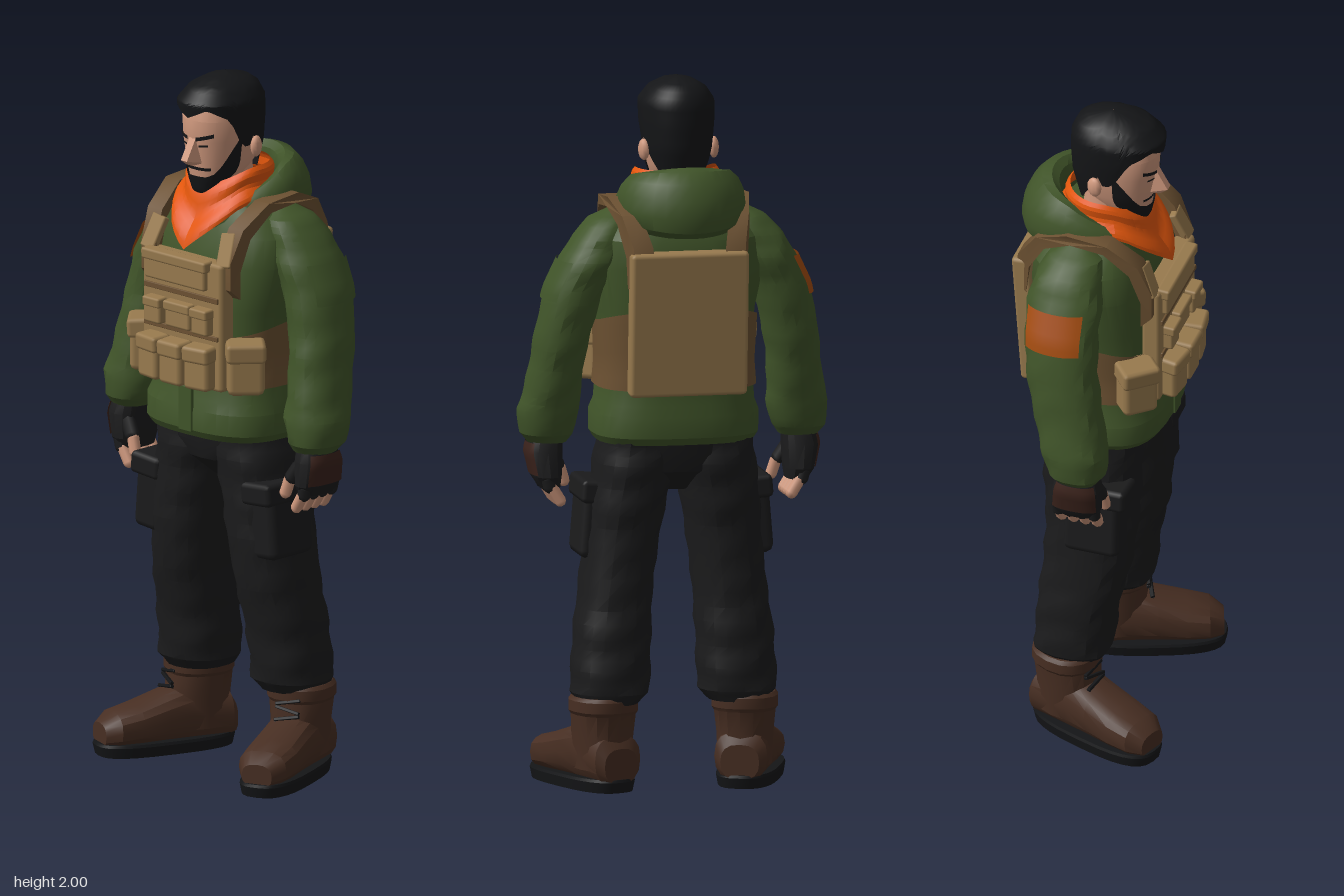
import * as THREE from 'three';
import { toCreasedNormals } from 'three/addons/utils/BufferGeometryUtils.js';
import { RoundedBoxGeometry } from 'three/addons/geometries/RoundedBoxGeometry.js';
import { ConvexGeometry } from 'three/addons/geometries/ConvexGeometry.js';

const PI = Math.PI;

function material(name, color, open) {
  const m = new THREE.MeshStandardMaterial({ color, side: open ? THREE.DoubleSide : THREE.FrontSide });
  m.name = name;
  return m;
}

// Interpolates rows sorted by their first column
function lookup(rows, x) {
  let i = 0;
  while (i < rows.length - 2 && x > rows[i + 1][0]) i++;
  const t = THREE.MathUtils.clamp((x - rows[i][0]) / (rows[i + 1][0] - rows[i][0]), 0, 1);
  return rows[i].map((v, k) => v + (rows[i + 1][k] - v) * t);
}

// Point on a rounded cross-section [y, rx, rz, cx, cz]; angle 0 faces the front
function onRing([y, rx, rz, cx = 0, cz = 0], a, p = 2, grow = 1) {
  const s = Math.sin(a), c = Math.cos(a);
  return [cx + rx * grow * Math.sign(s) * Math.abs(s) ** (2 / p), y,
    cz + rz * grow * Math.sign(c) * Math.abs(c) ** (2 / p)];
}

// Surface from a rule f(u, v), optionally with end caps
function sheet(f, nu, nv, caps = false, crease = 0.6) {
  const pos = [], idx = [], w = nu + 1;
  for (let j = 0; j <= nv; j++) for (let i = 0; i <= nu; i++) pos.push(...f(i / nu, j / nv));
  for (let j = 0; j < nv; j++) for (let i = 0; i < nu; i++) {
    const a = j * w + i, b = a + w;
    idx.push(a, a + 1, b + 1, a, b + 1, b);
  }
  if (caps) for (let i = 1; i < nu - 1; i++) {
    const t = nv * w;
    idx.push(0, i + 1, i, t, t + i, t + i + 1);
  }
  const g = new THREE.BufferGeometry();
  g.setAttribute('position', new THREE.Float32BufferAttribute(pos, 3));
  g.setIndex(idx);
  return toCreasedNormals(g, crease);
}

// Closed body through cross-sections, with optional cloth folds
function loft(rows, { n = 20, p = 2, sub = 1, fold = 0 } = {}) {
  const k = rows.length - 1;
  return sheet((u, v) => {
    const i = Math.min(k - 1, Math.floor(v * k + 1e-6)), t = v * k - i;
    const row = rows[i].map((q, c) => q + (rows[i + 1][c] - q) * t);
    const a = u * 2 * PI;
    return onRing(row, a, p, 1 + fold * Math.sin(row[0] * 55 + 2.4 * Math.sin(a) + 1.7 * Math.cos(2 * a)));
  }, n, k * sub, true, 0.45);
}

// Thin panel lying on a lofted body; lift raises its far end
const panel = (rows, a0, a1, y0, y1, grow, p = 2, n = 10, lift = 0) =>
  sheet((u, v) => onRing(lookup(rows, y0 + (y1 - y0) * v + lift * u), a0 + (a1 - a0) * u, p, grow), n, 6);

const shift = (rows, s, drift = 0) =>
  rows.map(([y, rx, rz, cx, cz]) => [y, rx, rz, cx * s + drift * (1 - y), cz]);

export function createModel() {
  const M = {
    jacket: material('jacket green', 0x405429, true), tan: material('vest tan', 0x987a4e),
    strap: material('strap brown', 0x6c5132, true), cloth: material('trouser black', 0x1b1b1c),
    hair: material('hair black', 0x141517, true), boot: material('boot brown', 0x472e22),
    orange: material('scarf orange', 0xe2560c, true), patch: material('patch orange', 0xa34c10, true),
    skin: material('skin', 0xcf987d), leather: material('glove leather', 0x3a221b, true),
  };
  const model = new THREE.Group();
  model.name = 'figure';
  const add = (name, geo, mat, pos = [0, 0, 0], rot = [0, 0, 0], parent = model) => {
    const m = new THREE.Mesh(geo, mat);
    m.name = name;
    m.position.set(...pos);
    m.rotation.set(...rot);
    parent.add(m);
    return m;
  };
  const box = (name, mat, [w, h, d], pos, rot, parent) =>
    add(name, new RoundedBoxGeometry(w, h, d, 1, Math.min(w, h, d) * 0.22), mat, pos, rot, parent);

  // Jacket body
  const torso = [[0.98, 0.222, 0.172, 0, 0.005], [1.0, 0.234, 0.184, 0, 0.005], [1.06, 0.234, 0.185, 0, 0.003],
    [1.09, 0.222, 0.174, 0, 0], [1.2, 0.213, 0.172, 0, -0.005], [1.35, 0.22, 0.174, 0, -0.013],
    [1.48, 0.248, 0.176, 0, -0.025], [1.56, 0.235, 0.162, 0, -0.032], [1.62, 0.185, 0.135, 0, -0.03],
    [1.67, 0.115, 0.105, 0, -0.02]];
  add('jacket', loft(torso, { n: 32, p: 2.8 }), M.jacket);
  box('jacketFlap', M.jacket, [0.05, 0.13, 0.012], [0.01, 1.06, 0.188]);

  // Hood resting behind the neck, sloping down and out from its inner rim
  add('hood', sheet((u, v) => {
    const a = u * 2 * PI, b = v * 2 * PI, t = (1 - Math.cos(a)) / 2;
    const r = Math.cos(b) * (0.03 + 0.028 * t * t), h = Math.sin(b) * (0.048 + 0.04 * t) - r * 0.7 * t;
    return [-0.006 + Math.sin(a) * (0.146 + r), 1.59 + 0.078 * Math.min(1, t * 1.6) + h,
      -0.045 + Math.cos(a) * (0.15 + r)];
  }, 32, 12), M.jacket);

  // Neck scarf with a pointed front
  add('scarf', sheet((u, v) => {
    const a = (u * 2 - 1) * PI, c = Math.cos(a), f = Math.max(0, 1 - Math.abs(a) / 1.15);
    const puff = 0.006 * Math.sin(v * 3 * PI);
    const front = 0.183 - 0.085 * v, back = 0.155 - 0.042 * v;
    return [-0.006 + Math.sin(a) * (0.14 - 0.026 * v + puff),
      (1.645 - 0.13 * f) * (1 - v) + (1.745 - 0.05 * Math.max(0, c) ** 2) * v, c * ((c > 0 ? front : back) + puff)];
  }, 36, 9, false, 0.35), M.orange);

  // Head
  const head = new THREE.Group();
  head.name = 'head';
  head.position.x = -0.013;
  model.add(head);
  const skull = [[1.65, 0.015, 0.02, 0, 0.078], [1.665, 0.042, 0.05, 0, 0.066], [1.7, 0.062, 0.078, 0, 0.044],
    [1.75, 0.08, 0.102, 0, 0.027], [1.82, 0.088, 0.115, 0, 0.025], [1.88, 0.09, 0.117, 0, 0.027],
    [1.95, 0.07, 0.1, 0, 0.022]];
  add('face', loft(skull, { n: 24, p: 2.3 }), M.skin, [0, 0, 0], [0, 0, 0], head);
  add('neck', new THREE.CylinderGeometry(0.065, 0.075, 0.18, 14), M.skin, [0, 1.66, -0.005], [0, 0, 0], head);
  const nose = [];
  for (const s of [-1, 1]) for (const [x, y, z] of [[0.012, 1.835, 0.136], [0.012, 1.768, 0.174],
    [0.026, 1.757, 0.12], [0.012, 1.752, 0.152]]) nose.push(new THREE.Vector3(x * s, y, z));
  add('nose', new ConvexGeometry(nose), M.skin, [0, 0, 0], [0, 0, 0], head);
  for (const s of [-1, 1]) {
    add('ear', new THREE.SphereGeometry(0.028, 10, 8).scale(0.5, 1.1, 0.8), M.skin, [s * 0.1, 1.795, -0.012], [0, s * 0.3, 0], head);
    add('eyebrow', panel(skull, s * 0.13, s * 0.72, 1.822, 1.833, 1.035, 2.3, 8, 0.014), M.hair, [0, 0, 0], [0, 0, 0], head);
    add('eye', panel(skull, s * 0.2, s * 0.52, 1.804, 1.81, 1.02, 2.3, 6, 0.004), M.hair, [0, 0, 0], [0, 0, 0], head);
  }
  const hairRows = [[1.7, 0.072, 0.08, 0, 0], [1.8, 0.096, 0.115, 0, 0.01], [1.87, 0.104, 0.133, 0, 0.023],
    [1.93, 0.106, 0.135, 0, 0.027], [1.968, 0.08, 0.107, 0, 0.018], [1.99, 0.042, 0.062, 0, 0.01], [2, 0.001, 0.001, 0, 0.01]];
  const hairline = [[0, 1.89], [0.18, 1.918], [0.36, 1.885], [0.43, 1.8], [0.5, 1.8], [0.54, 1.83],
    [0.6, 1.78], [0.75, 1.72], [1, 1.71]];
  add('hair', sheet((u, v) => {
    const a = (u * 2 - 1) * PI, low = lookup(hairline, Math.abs(a) / PI)[1];
    return onRing(lookup(hairRows, low + (2 - low) * v), a, 2.1);
  }, 48, 16), M.hair, [0, 0, 0], [0, 0, 0], head);
  const beardEdge = [[0, 1.651, 1.717], [0.15, 1.653, 1.717], [0.25, 1.66, 1.728], [0.36, 1.685, 1.775], [0.48, 1.725, 1.835]];
  add('beard', sheet((u, v) => {
    const a = (u * 2 - 1) * 0.48 * PI, [, lo, hi] = lookup(beardEdge, Math.abs(a) / PI);
    return onRing(lookup(skull, lo + (hi - lo) * v), a, 2.3, 1.06);
  }, 28, 6), M.hair, [0, 0, 0], [0, 0, 0], head);
  add('moustache', panel(skull, -0.6, 0.6, 1.735, 1.744, 1.03, 2.3), M.hair, [0, 0, 0], [0, 0, 0], head);

  // Vest: side band rising to the back, plates and shoulder straps
  add('vestBand', sheet((u, v) => {
    const a = u * 2 * PI;
    return onRing(lookup(torso, 1.135 + (0.185 - 0.045 * Math.cos(a)) * v), a, 2.8, 1.04);
  }, 36, 6), M.strap);
  box('frontPlate', M.tan, [0.31, 0.37, 0.055], [0, 1.315, 0.168]);
  box('backPlate', M.tan, [0.335, 0.41, 0.055], [0, 1.33, -0.2], [-0.07, 0, 0]);
  const strapLine = [[0.165, 1.42], [0.165, 1.5], [0.13, 1.59], [0.05, 1.655], [-0.06, 1.665], [-0.15, 1.625], [-0.205, 1.54], [-0.215, 1.45]];
  const outline = [...strapLine.map(([z, y]) => [z * 1.08, y + 0.008]), ...strapLine.map(([z, y]) => [z * 0.9, y - 0.02]).reverse()];
  for (const s of [-1, 1]) {
    const g = new THREE.ExtrudeGeometry(new THREE.Shape(outline.map(q => new THREE.Vector2(...q))), { depth: 0.056, bevelEnabled: false });
    g.rotateY(-PI / 2).translate(s * 0.128 + 0.028, 0, 0);
    const q = g.attributes.position;
    for (let i = 0; i < q.count; i++) q.setX(i, q.getX(i) + s * 0.05 * (1 - (q.getZ(i) / 0.23) ** 2));
    add('shoulderStrap', toCreasedNormals(g, 0.6), M.strap);
    box('strapPad', M.tan, [0.052, 0.1, 0.022], [s * 0.143, 1.535, 0.158], [-0.4, 0, s * 0.15]);
  }

  // Vest pouches
  const pouch = (name, w, h, d, x, y, z, turn = 0) => {
    const g = new THREE.Group();
    g.name = name;
    g.position.set(x, y, z);
    g.rotation.y = turn;
    model.add(g);
    box('pouchBody', M.tan, [w, h, d], [0, 0, 0], [0, 0, 0], g);
    box('pouchFlap', M.tan, [w * 1.07, h * 0.38, d * 1.1], [0, h * 0.33, 0.004], [0.06, 0, 0], g);
  };
  pouch('chestPouch', 0.235, 0.085, 0.035, -0.015, 1.46, 0.195);
  box('chestWebbing', M.strap, [0.29, 0.016, 0.01], [0, 1.395, 0.196]);
  box('waistWebbing', M.strap, [0.29, 0.014, 0.01], [0, 1.285, 0.196]);
  for (const x of [-0.092, 0, 0.092]) {
    pouch('smallPouch', x ? 0.062 : 0.095, 0.075, 0.036, x, 1.33, x ? 0.205 : 0.198);
    pouch('magazinePouch', 0.084, 0.125, 0.058, x, 1.198, x ? 0.212 : 0.219, x * 1.6);
  }
  for (const s of [-1, 1]) pouch('sidePouch', 0.105, 0.15, 0.08, s * 0.198, 1.205, 0.142, s * 0.85);

  // Hips
  add('hips', loft([[0.84, 0.04, 0.06, 0, -0.01], [0.9, 0.13, 0.13, 0, -0.012], [0.95, 0.208, 0.142, 0, -0.01],
    [1.04, 0.214, 0.148, 0, -0.01]], { p: 2.4 }), M.cloth);

  const arm = [[0.975, 0.055, 0.062, 0.358, 0.025], [1.0, 0.074, 0.083, 0.36, 0.022], [1.07, 0.087, 0.096, 0.354, 0.013],
    [1.13, 0.078, 0.096, 0.346, -0.001], [1.22, 0.075, 0.1, 0.335, -0.02], [1.3, 0.078, 0.101, 0.322, -0.036],
    [1.42, 0.08, 0.105, 0.292, -0.047], [1.5, 0.084, 0.107, 0.25, -0.05], [1.56, 0.08, 0.097, 0.218, -0.048],
    [1.61, 0.06, 0.075, 0.19, -0.04], [1.64, 0.02, 0.03, 0.17, -0.04]];
  const glove = [[0.85, 0.03, 0.058, 0.352, 0.018], [0.88, 0.042, 0.074, 0.36, 0.02], [0.95, 0.052, 0.07, 0.366, 0.025],
    [0.995, 0.046, 0.056, 0.36, 0.026]];
  const leg = [[0.245, 0.085, 0.095, 0.185, -0.056], [0.275, 0.111, 0.113, 0.182, -0.05], [0.34, 0.11, 0.112, 0.179, -0.045],
    [0.43, 0.109, 0.116, 0.175, -0.036], [0.55, 0.103, 0.125, 0.164, -0.015], [0.7, 0.104, 0.132, 0.147, -0.005],
    [0.82, 0.11, 0.138, 0.132, -0.01], [0.92, 0.114, 0.143, 0.114, -0.012], [1.0, 0.108, 0.143, 0.108, -0.012]];

  for (const s of [-1, 1]) {
    const side = s > 0 ? 'left' : 'right';
    // Sleeve with arm pocket or patch
    const sleeve = shift(arm, s);
    add(side + 'Sleeve', loft(sleeve, { n: 18, p: 2.2, sub: 3, fold: 0.025 }), M.jacket);
    add(side + (s > 0 ? 'ArmPocket' : 'ArmPatch'), panel(sleeve, s * 0.9, s * 2.4, 1.39, 1.5, 1.09, 2.2), s > 0 ? M.jacket : M.patch);

    // Fingerless glove and hand
    const hand = shift(glove, s);
    add(side + 'Glove', loft(hand, { n: 14, p: 2.5 }), M.cloth);
    add(side + 'GlovePanel', panel(hand, s * 0.6, s * 2.4, 0.885, 0.975, 1.06, 2.5), M.leather);
    for (let i = 0; i < 4; i++) {
      const z = -0.033 + i * 0.035;
      add('knuckle', new THREE.CapsuleGeometry(0.019, 0.022, 3, 8), M.cloth, [s * 0.362, 0.864, z], [0, 0, -s * 0.25]);
      add('finger', new THREE.CapsuleGeometry(0.017, 0.045, 3, 8), M.skin, [s * 0.342, 0.832, z], [0, 0, -s * 0.55]);
    }
    add('thumbGlove', new THREE.CapsuleGeometry(0.021, 0.04, 3, 8), M.cloth, [s * 0.326, 0.915, 0.072], [-0.2, 0, -s * 0.55]);
    add('thumb', new THREE.CapsuleGeometry(0.017, 0.04, 3, 8), M.skin, [s * 0.302, 0.87, 0.08], [-0.1, 0, -s * 0.3]);

    // Trouser leg with cargo pocket
    add(side + 'TrouserLeg', loft(shift(leg, s, 0.016), { n: 18, p: 2.3, sub: 3, fold: 0.03 }), M.cloth);
    box('cargoPocket', M.cloth, [0.1, 0.2, 0.165], [s * 0.222, 0.745, 0.03], [0, 0, s * 0.08]);
    box('pocketFlap', M.cloth, [0.112, 0.065, 0.195], [s * 0.217, 0.835, 0.032], [0, 0, s * 0.08]);

    // Boot with toe turned out
    const boot = new THREE.Group();
    boot.name = side + 'Boot';
    boot.position.set(s * 0.202 + 0.012, 0, -0.064);
    boot.rotation.y = s * 0.36;
    model.add(boot);
    const part = (name, geo, mat) => add(name, geo, mat, [0, 0, 0], [0, 0, 0], boot);
    part('bootFoot', loft([[-0.095, 0.055, 0.05, 0, -0.075], [-0.075, 0.075, 0.07, 0, -0.09], [0.05, 0.077, 0.085, 0, -0.104],
      [0.12, 0.077, 0.072, 0, -0.094], [0.2, 0.08, 0.058, 0, -0.082], [0.265, 0.073, 0.05, 0, -0.074],
      [0.305, 0.046, 0.034, 0, -0.06]], { n: 16, p: 2.5 }).rotateX(PI / 2), M.boot);
    part('bootShaft', loft([[0.06, 0.076, 0.088, 0, 0], [0.15, 0.08, 0.091, 0, 0.005], [0.215, 0.087, 0.092, 0, 0],
      [0.225, 0.094, 0.097, 0, 0], [0.255, 0.094, 0.097, 0, 0], [0.265, 0.085, 0.09, 0, 0]], { n: 16, p: 2.3 }), M.boot);
    part('bootSole', loft([[0, 0.082, 0.202, 0, 0.108], [0.03, 0.087, 0.209, 0, 0.108], [0.038, 0.084, 0.206, 0, 0.108]], { n: 28, p: 2.8 }), M.hair);
    for (let i = 0; i < 4; i++)
      box('lace', M.hair, [0.075, 0.009, 0.012], [0, 0.155 + i * 0.022, 0.107 - i * 0.005], [-0.4, 0, i % 2 ? 0.2 : -0.2], boot);
  }
  return model;
}
